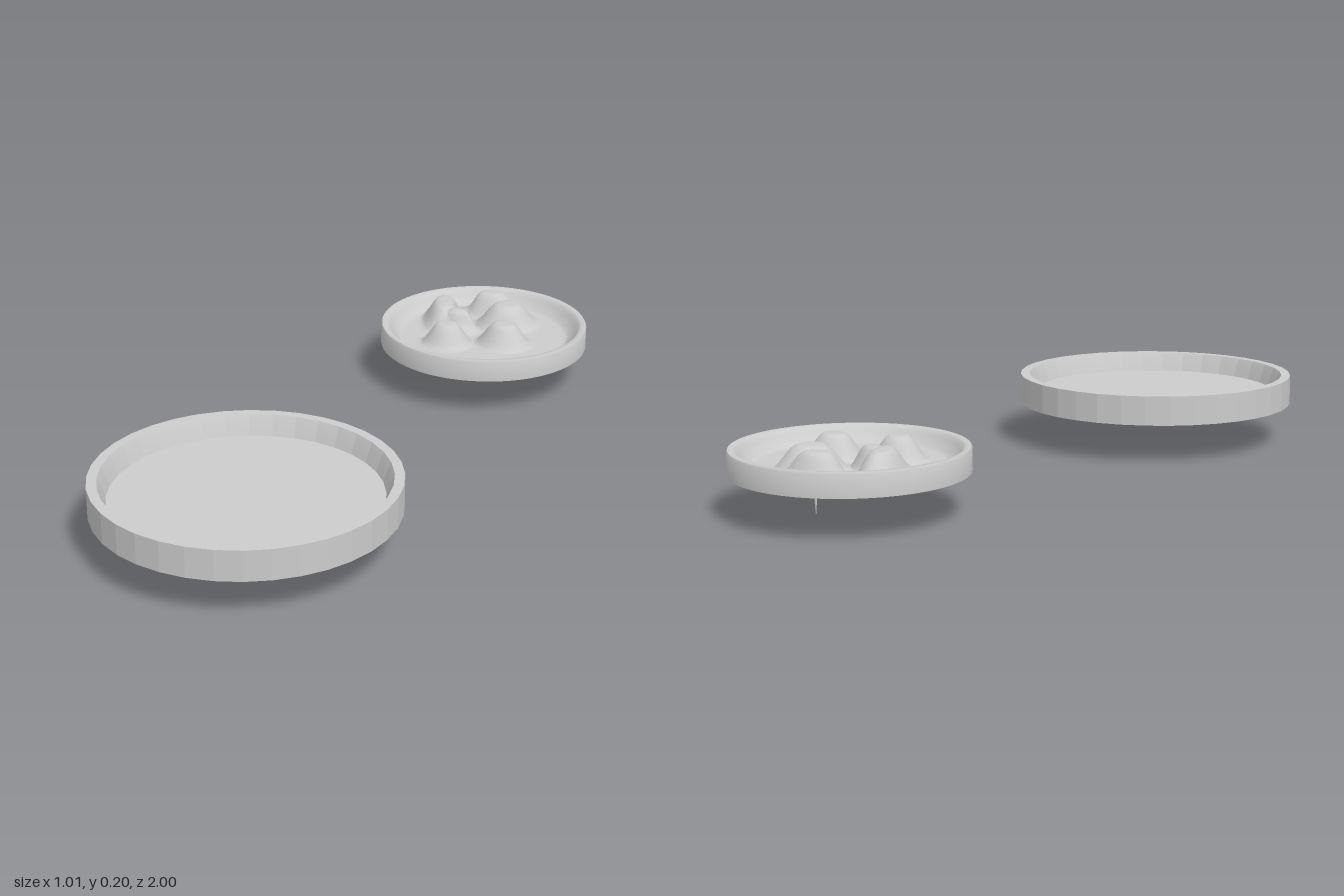
import * as THREE from 'three';
import { toCreasedNormals } from 'three/addons/utils/BufferGeometryUtils.js';

const grey = () => new THREE.MeshStandardMaterial({ color: 0xcccccc });
const pts = (list) => list.map(([r, y]) => new THREE.Vector2(r, y));

// Sculpted lobes on the small dish: x, z, half width, half depth, turn, height
const LOBES = [
  [0.10, -0.592, 0.075, 0.068, 0, 0.066],
  [0.265, -0.642, 0.082, 0.075, 0.2, 0.066],
  [0.235, -0.80, 0.09, 0.10, 0.35, 0.068],
  [0.165, -0.875, 0.095, 0.06, -0.1, 0.07],
  [0.04, -0.77, 0.065, 0.13, -0.25, 0.068],
  [0.10, -0.715, 0.07, 0.05, 0.3, 0.062],
];
const CENTRE = { x: 0.19, z: -0.685 };

// Height of the relief at a point: the tallest flat-topped lobe there
function relief(x, z) {
  let h = 0;
  for (const [cx, cz, a, b, turn, top] of LOBES) {
    const dx = x - cx, dz = z - cz, c = Math.cos(turn), s = Math.sin(turn);
    const d = Math.hypot((dx * c + dz * s) / a, (dz * c - dx * s) / b);
    h = Math.max(h, top * (1 - THREE.MathUtils.smoothstep(d, 0.3, 1.15)));
  }
  // Groove dividing the left and rear lobes
  const groove = Math.exp(-(((x - 0.095) / 0.017) ** 2)) *
    THREE.MathUtils.smoothstep(-z, 0.74, 0.79);
  // Crease between the rear mass and the front knobs
  const line = z + 0.69 + 0.28 * (x - 0.14);
  const crease = Math.exp(-((line / 0.016) ** 2));
  return h * (1 - 0.45 * groove) * (1 - 0.5 * crease);
}

// Wide plain dish with a raised rim
function createPlainDish() {
  const profile = pts([
    [0, 0.115], [0.41, 0.115], [0.41, 0.2], [0.383, 0.2],
    [0.376, 0.185], [0.362, 0.145], [0, 0.145],
  ]);
  const geometry = toCreasedNormals(new THREE.LatheGeometry(profile, 36), 0.15);
  const dish = new THREE.Mesh(geometry, grey());
  dish.name = 'plainDish';
  dish.position.set(-0.1, 0, 0.59);
  return dish;
}

// Small dish whose thin floor is pushed up into lobes, hollow underneath
function createSculptedDish() {
  const steps = 44, floorR = 0.25, under = 0.115, floor = 0.135;
  const list = [];
  for (let i = 0; i <= steps; i++) list.push([0.28 * i / steps, under]);
  list.push([0.315, under], [0.315, 0.175], [0.312, 0.18], [0.298, 0.18], [0.292, 0.176]);
  for (let i = 1; i <= 6; i++) {
    const t = i / 6;
    list.push([0.292 - (0.292 - floorR) * t, floor + 0.041 * (1 - t) ** 1.5]);
  }
  for (let i = steps - 1; i >= 0; i--) list.push([floorR * i / steps, floor]);

  const geometry = new THREE.LatheGeometry(pts(list), 120);
  const p = geometry.attributes.position;
  for (let i = 0; i < p.count; i++) {
    const x = p.getX(i), y = p.getY(i), z = p.getZ(i);
    const mask = 1 - THREE.MathUtils.smoothstep(Math.hypot(x, z), 0.25, 0.285);
    const h = relief(x + CENTRE.x, z + CENTRE.z) * mask;
    p.setY(i, y < 0.12 ? y + 0.9 * h : Math.max(y, floor + h));
  }
  const dish = new THREE.Mesh(toCreasedNormals(geometry, 0.7), grey());
  dish.name = 'sculptedDish';
  dish.position.set(CENTRE.x, 0, CENTRE.z);
  return dish;
}

// Thin spike hanging from the underside
function createSpike() {
  const length = 0.145;
  const geometry = new THREE.ConeGeometry(0.011, length, 8);
  geometry.rotateX(Math.PI);
  const spike = new THREE.Mesh(geometry, grey());
  spike.name = 'spike';
  spike.position.set(0.255, length / 2, -0.75);
  return spike;
}

export function createModel() {
  const model = new THREE.Group();
  model.name = 'dishes';
  model.add(createPlainDish(), createSculptedDish(), createSpike());
  return model;
}
